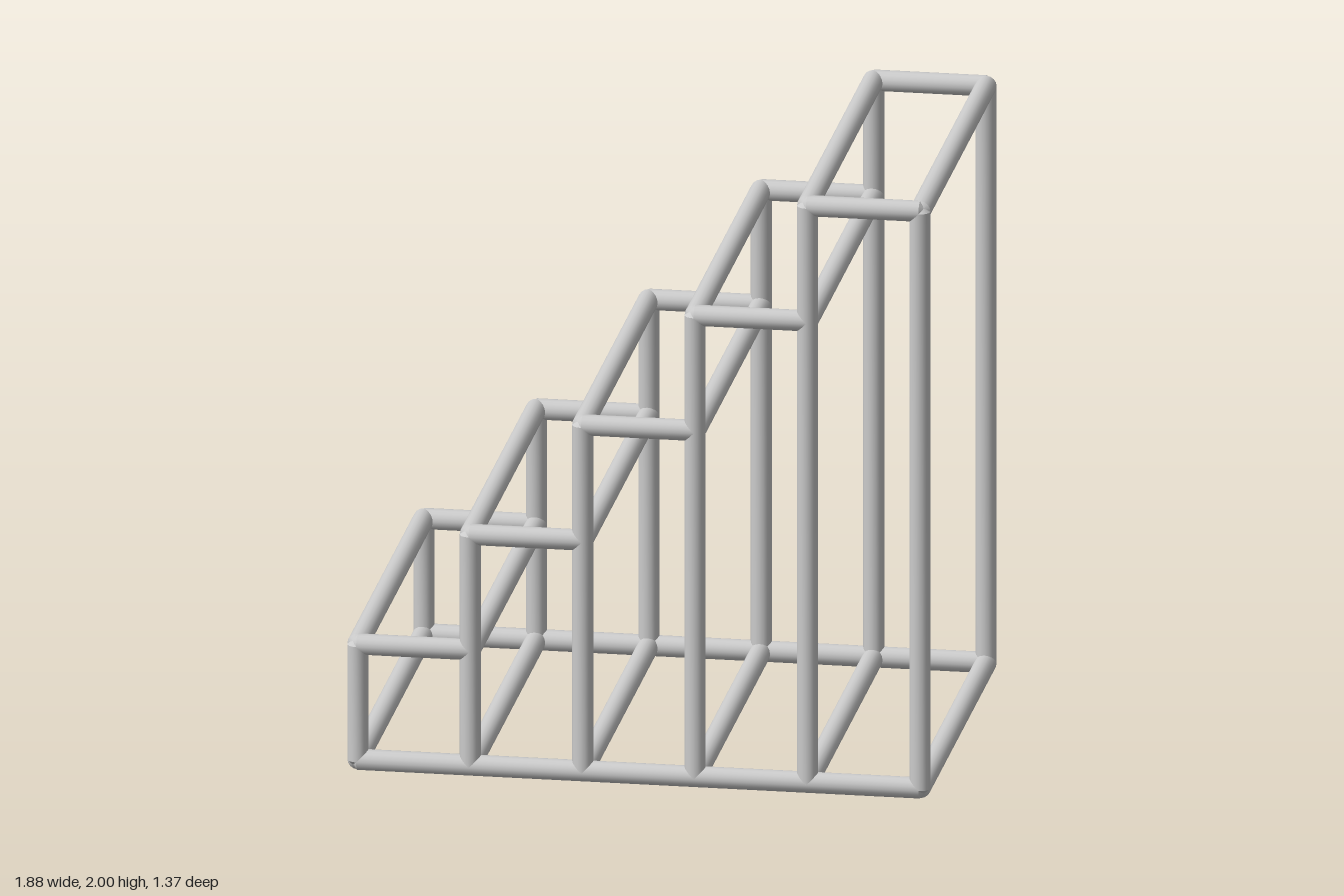
import * as THREE from 'three';
import { toCreasedNormals } from 'three/addons/utils/BufferGeometryUtils.js';

const R = 0.034;          // tube radius
const STEPS = 5;
const HALF_X = 0.907;     // outer post centres
const HALF_Z = 0.65;
const RUN = (2 * HALF_X) / STEPS;
const RISE = (2 - 2 * R) / STEPS;

const material = new THREE.MeshStandardMaterial({ color: 0xcccccc });

// Round bar between two joint centres, with 45 degree conical tips
function bar(name, a, b) {
  const from = new THREE.Vector3(...a);
  const to = new THREE.Vector3(...b);
  const h = from.distanceTo(to) / 2;
  const profile = [[0, -h - R], [R, -h], [R, h], [0, h + R]].map(p => new THREE.Vector2(...p));
  const geometry = toCreasedNormals(new THREE.LatheGeometry(profile, 16), 0.6);
  const mesh = new THREE.Mesh(geometry, material);
  mesh.name = name;
  mesh.position.copy(from).add(to).multiplyScalar(0.5);
  mesh.quaternion.setFromUnitVectors(new THREE.Vector3(0, 1, 0), to.sub(from).normalize());
  return mesh;
}

export function createModel() {
  const model = new THREE.Group();
  model.name = 'steppedFrame';
  const postX = i => -HALF_X + i * RUN;
  const levelY = i => R + i * RISE;

  // Base rails and posts on both sides
  for (const [side, z] of [['front', HALF_Z], ['back', -HALF_Z]]) {
    model.add(bar(side + 'BaseRail', [-HALF_X, R, z], [HALF_X, R, z]));
    for (let i = 0; i <= STEPS; i++) {
      const top = levelY(Math.min(i + 1, STEPS));
      model.add(bar(side + 'Post', [postX(i), R, z], [postX(i), top, z]));
    }
  }

  // Cross bars along the base
  for (let i = 0; i <= STEPS; i++) {
    model.add(bar('baseCrossBar', [postX(i), R, -HALF_Z], [postX(i), R, HALF_Z]));
  }

  // One rectangular tread frame per step
  for (let i = 0; i < STEPS; i++) {
    const tread = new THREE.Group();
    tread.name = 'treadFrame' + (i + 1);
    const y = levelY(i + 1);
    const x0 = postX(i), x1 = postX(i + 1);
    for (const z of [HALF_Z, -HALF_Z]) tread.add(bar('treadSideRail', [x0, y, z], [x1, y, z]));
    for (const x of [x0, x1]) tread.add(bar('treadCrossBar', [x, y, -HALF_Z], [x, y, HALF_Z]));
    model.add(tread);
  }
  return model;
}
